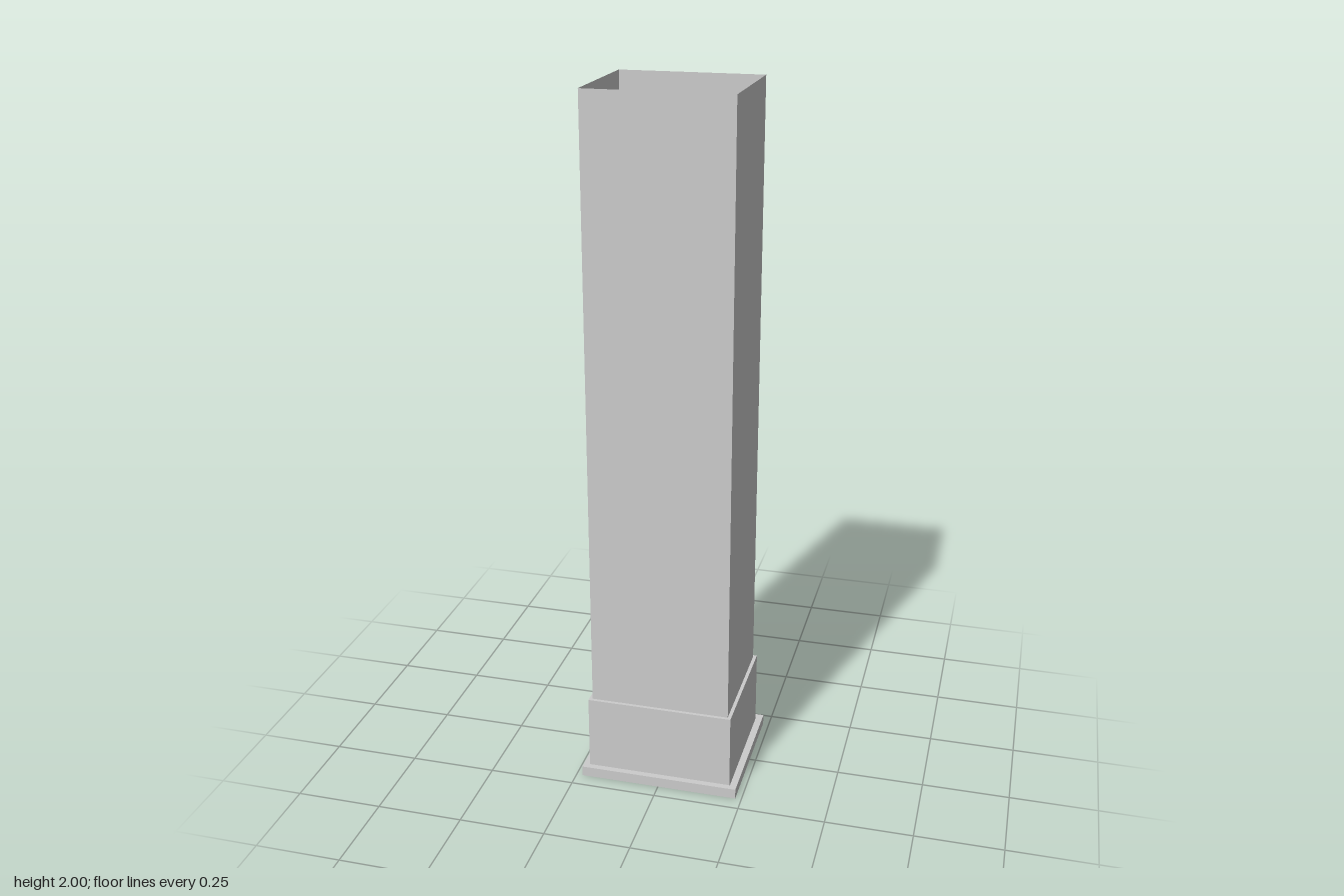
import * as THREE from 'three';

const material = new THREE.MeshStandardMaterial({
  color: 0xcccccc, flatShading: true, side: THREE.DoubleSide,
});

// Skin a run of rectangular cross-sections [halfWidth, halfDepth, y]
function rectLoft(name, sections) {
  const corners = [[-1, 1], [1, 1], [1, -1], [-1, -1]];
  const pos = [];
  for (let s = 0; s < sections.length - 1; s++) {
    for (let c = 0; c < 4; c++) {
      const point = ([w, d, y], k) => [corners[k % 4][0] * w, y, corners[k % 4][1] * d];
      const a = point(sections[s], c), b = point(sections[s], c + 1);
      const e = point(sections[s + 1], c + 1), f = point(sections[s + 1], c);
      pos.push(...a, ...b, ...e, ...a, ...e, ...f);
    }
  }
  const geometry = new THREE.BufferGeometry();
  geometry.setAttribute('position', new THREE.Float32BufferAttribute(pos, 3));
  geometry.computeVertexNormals();
  const mesh = new THREE.Mesh(geometry, material);
  mesh.name = name;
  return mesh;
}

export function createModel() {
  const group = new THREE.Group();
  group.name = 'squareDuct';

  // Thin sheet shaft, open at both ends
  const shaft = rectLoft('shaft', [[0.202, 0.177, 0], [0.202, 0.177, 2]]);

  // Sleeve around the foot, closed to the shaft by a narrow shoulder
  const collar = rectLoft('collar', [
    [0.212, 0.187, 0], [0.212, 0.187, 0.25], [0.202, 0.177, 0.25],
  ]);

  // Flat flange ring at the floor
  const flange = rectLoft('flange', [
    [0.212, 0.187, 0], [0.232, 0.205, 0], [0.232, 0.205, 0.03], [0.212, 0.187, 0.03],
  ]);

  // Shaft and collar sit very slightly off the flange centre
  for (const part of [shaft, collar]) part.position.set(-0.002, 0, -0.001);

  group.add(shaft, collar, flange);
  return group;
}
